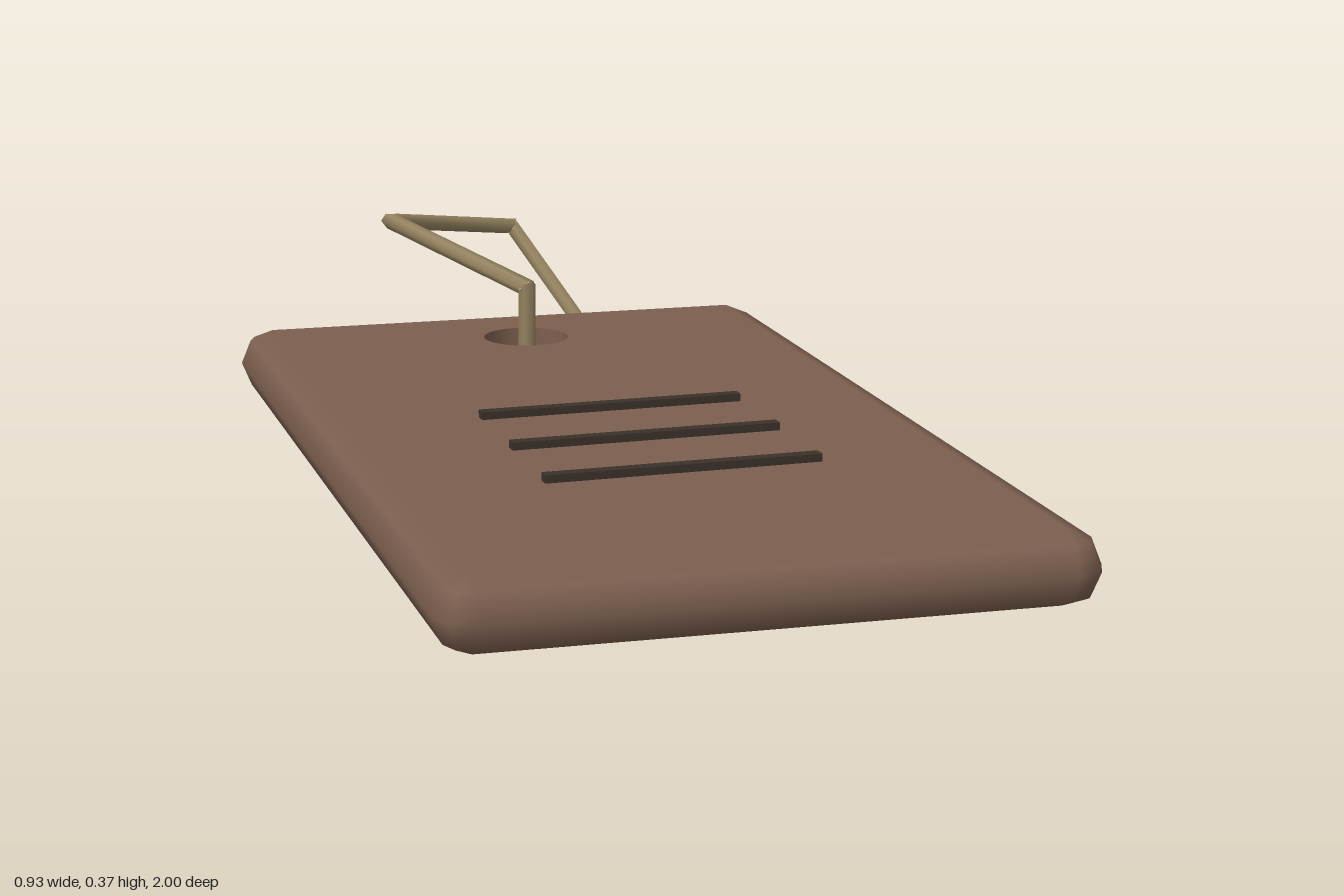
import * as THREE from 'three';

const HALF_X = 0.41, HALF_Z = 0.76, EDGE = 0.055;   // flat face and rounded edge
const TAG_Y = 0.155, TAG_Z = 0.185;                 // centre of the tag
const HOLE_Z = -0.595, HOLE_R = 0.072;              // hole, relative to the tag

function indexed(positions, normals, index) {
  const g = new THREE.BufferGeometry();
  g.setAttribute('position', new THREE.Float32BufferAttribute(positions, 3));
  g.setIndex(index);
  if (normals) g.setAttribute('normal', new THREE.Float32BufferAttribute(normals, 3));
  else g.computeVertexNormals();
  return g;
}

// Rows of points joined into a skin; each row closes on itself
function skinIndex(rows, n) {
  const index = [];
  for (let r = 0; r < rows - 1; r++) for (let i = 0; i < n; i++) {
    const a = r * n + i, b = r * n + (i + 1) % n;
    index.push(a, a + n, b, b, a + n, b + n);
  }
  return index;
}

// Rounded rim: two facets per quarter turn, in plan and in section
function rimGeometry() {
  const pos = [], nor = [];
  for (let level = -2; level <= 2; level++) {
    const phi = level * Math.PI / 4;
    for (let corner = 0; corner < 4; corner++) for (let s = 0; s <= 2; s++) {
      const a = (corner + s / 2) * Math.PI / 2;
      const mid = (corner + 0.5) * Math.PI / 2;
      const n = [Math.cos(phi) * Math.cos(a), Math.sin(phi), Math.cos(phi) * Math.sin(a)];
      nor.push(...n);
      pos.push(Math.sign(Math.cos(mid)) * HALF_X + EDGE * n[0], EDGE * n[1],
        Math.sign(Math.sin(mid)) * HALF_Z + EDGE * n[2]);
    }
  }
  return indexed(pos, nor, skinIndex(5, 12));
}

// Flat face with the hole cut out; side is 1 for top, -1 for bottom
function faceGeometry(side) {
  const shape = new THREE.Shape([[-1, -1], [1, -1], [1, 1], [-1, 1]]
    .map(([x, y]) => new THREE.Vector2(x * HALF_X, y * HALF_Z)));
  shape.holes.push(new THREE.Path().absarc(0, -side * HOLE_Z, HOLE_R, 0, Math.PI * 2, true));
  return new THREE.ShapeGeometry(shape, 16).rotateX(-side * Math.PI / 2).translate(0, side * EDGE, 0);
}

// One straight run of cord, cut on the mitre planes at both ends
function cordRun(points, i, radius, sides) {
  const n = points.length, at = k => points[(k + n) % n];
  const dir = k => at(k + 1).clone().sub(at(k)).normalize();
  const d = dir(i);
  const u = new THREE.Vector3(1, 0, 0).addScaledVector(d, -d.x).normalize();
  const v = d.clone().cross(u);
  const pos = [];
  for (const k of [i, i + 1]) {
    const plane = dir(k - 1).add(dir(k)).normalize();
    for (let s = 0; s < sides; s++) {
      const a = -s / sides * Math.PI * 2;
      const off = u.clone().multiplyScalar(radius * Math.cos(a)).addScaledVector(v, radius * Math.sin(a));
      off.addScaledVector(d, -off.dot(plane) / d.dot(plane)).add(at(k));
      pos.push(off.x, off.y, off.z);
    }
  }
  return indexed(pos, null, skinIndex(2, sides));
}

export function createModel() {
  const leather = new THREE.MeshStandardMaterial({ color: 0x7c5f4f });
  leather.name = 'brown leather';
  const twine = new THREE.MeshStandardMaterial({ color: 0x94825f });
  twine.name = 'tan cord';
  const ink = new THREE.MeshStandardMaterial({ color: 0x3b3129 });
  ink.name = 'dark mark';

  const model = new THREE.Group();
  model.name = 'hangTag';
  const add = (parent, name, geometry, material) => {
    const mesh = new THREE.Mesh(geometry, material);
    mesh.name = name;
    parent.add(mesh);
    return mesh;
  };

  // Tag body
  const tag = new THREE.Group();
  tag.name = 'tag';
  tag.position.set(0, TAG_Y, TAG_Z);
  model.add(tag);
  add(tag, 'tagRim', rimGeometry(), leather);
  add(tag, 'tagTop', faceGeometry(1), leather);
  add(tag, 'tagBottom', faceGeometry(-1), leather);
  // Profile runs downward so the wall faces into the hole
  const wall = [new THREE.Vector2(HOLE_R, EDGE), new THREE.Vector2(HOLE_R, -EDGE)];
  add(tag, 'holeWall', new THREE.LatheGeometry(wall, 32), leather).position.z = HOLE_Z;

  // Three slightly tilted marks
  [0.135, 0.33, 0.525].forEach((z, i) => {
    const mark = add(model, 'mark' + (i + 1), new THREE.BoxGeometry(0.42, 0.018, 0.02), ink);
    mark.position.set(0, 0.213, z);
    mark.rotation.y = 0.038;
  });

  // Closed loop of cord through the hole
  const cord = new THREE.Group();
  cord.name = 'cord';
  model.add(cord);
  const knots = [[0, 0.015, -0.403], [0, 0.297, -0.403], [-0.155, 0.352, -0.785],
    [0.115, 0.296, -0.98], [0.235, 0.077, -0.71]].map(p => new THREE.Vector3(...p));
  knots.forEach((_, i) => add(cord, 'cordRun' + (i + 1), cordRun(knots, i, 0.015, 6), twine));

  return model;
}
